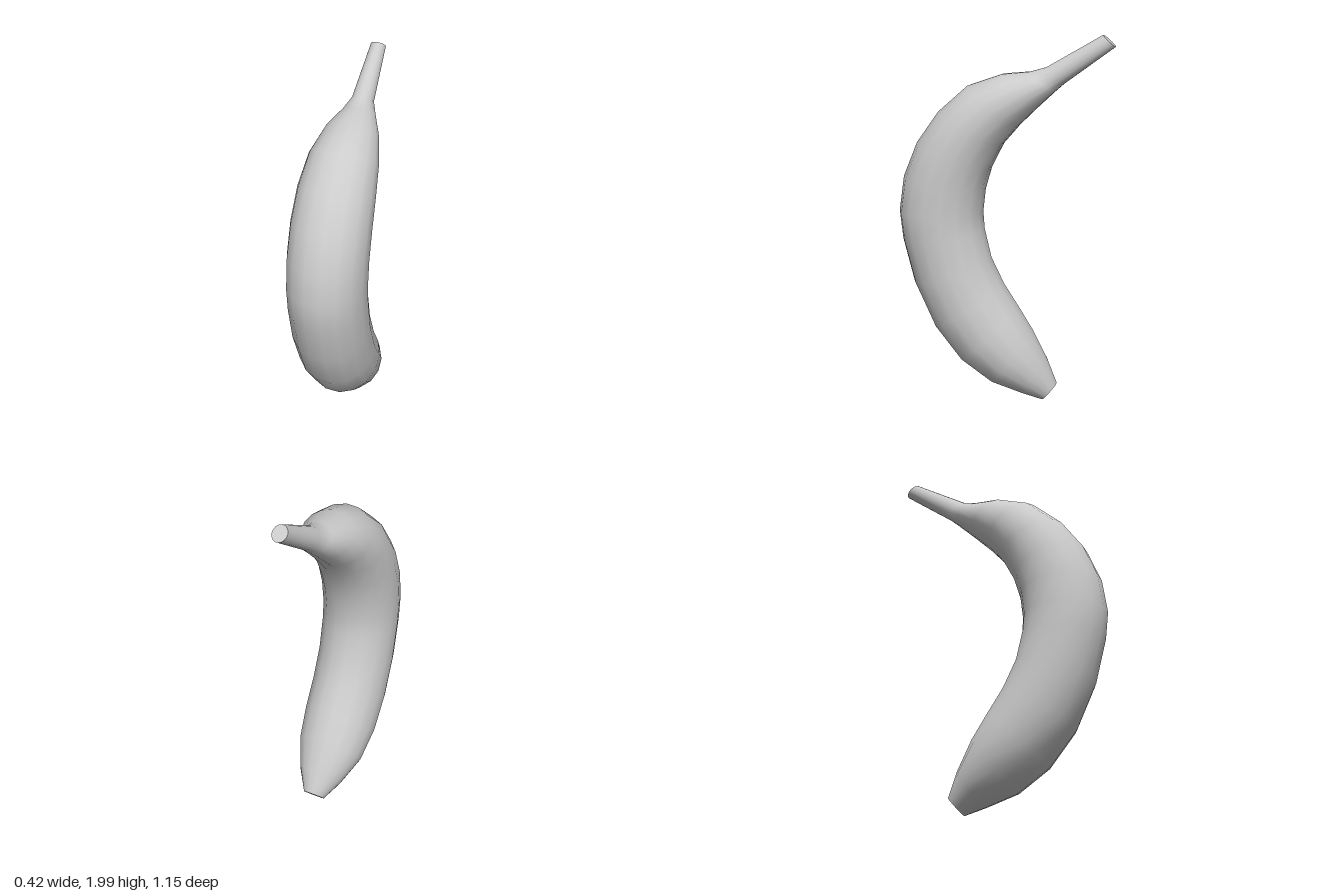
import * as THREE from 'three';

const SIDES = 16;
const TWIST = THREE.MathUtils.degToRad(14.5);

// Cross-sections from blossom tip to stem:
// [outer z, outer y, inner z, inner y, half width]
const SECTIONS = [
  [-0.205, 0.005, -0.285, 0.10, 0.06],
  [-0.095, 0.04, -0.23, 0.235, 0.125],
  [0.075, 0.10, -0.15, 0.39, 0.187],
  [0.245, 0.22, -0.07, 0.52, 0.207],
  [0.39, 0.405, 0.01, 0.645, 0.21],
  [0.50, 0.65, 0.08, 0.79, 0.21],
  [0.56, 0.89, 0.117, 0.95, 0.21],
  [0.577, 1.045, 0.124, 1.045, 0.21],
  [0.55, 1.235, 0.11, 1.17, 0.21],
  [0.475, 1.42, 0.075, 1.29, 0.208],
  [0.357, 1.587, 0.01, 1.42, 0.2],
  [0.20, 1.727, -0.075, 1.52, 0.18],
  [0.02, 1.79, -0.17, 1.615, 0.14],
  [-0.13, 1.805, -0.265, 1.705, 0.085],
  [-0.215, 1.83, -0.31, 1.745, 0.058],
  [-0.505, 2.0, -0.572, 1.94, 0.04],
];

// Elliptical ring of points for one section
function ring([oz, oy, iz, iy, w]) {
  const points = [];
  for (let j = 0; j < SIDES; j++) {
    const a = TWIST + (j / SIDES) * Math.PI * 2;
    const s = Math.sin(a);
    points.push(new THREE.Vector3(
      w * Math.cos(a),
      (oy + iy) / 2 + (s * (oy - iy)) / 2,
      (oz + iz) / 2 + (s * (oz - iz)) / 2,
    ));
  }
  return points;
}

function makeMesh(name, points, index) {
  const geometry = new THREE.BufferGeometry().setFromPoints(points);
  geometry.setIndex(index);
  geometry.computeVertexNormals();
  const mesh = new THREE.Mesh(geometry, new THREE.MeshStandardMaterial({ color: 0xcccccc }));
  mesh.name = name;
  return mesh;
}

// Flat end disc closing one section
function makeCap(name, section, facesUp) {
  const [oz, oy, iz, iy] = section;
  const points = [...ring(section), new THREE.Vector3(0, (oy + iy) / 2, (oz + iz) / 2)];
  const index = [];
  for (let j = 0; j < SIDES; j++) {
    const k = (j + 1) % SIDES;
    index.push(SIDES, ...(facesUp ? [k, j] : [j, k]));
  }
  return makeMesh(name, points, index);
}

export function createModel() {
  const group = new THREE.Group();
  group.name = 'banana';

  // Smooth skin lofted through all sections, including the stem
  const index = [];
  for (let i = 0; i < SECTIONS.length - 1; i++) {
    for (let j = 0; j < SIDES; j++) {
      const k = (j + 1) % SIDES;
      const a = i * SIDES + j, b = i * SIDES + k;
      const c = a + SIDES, d = b + SIDES;
      index.push(a, c, b, b, c, d);
    }
  }
  group.add(makeMesh('peel', SECTIONS.flatMap(ring), index));

  // Cut ends
  group.add(makeCap('blossomEnd', SECTIONS[0], false));
  group.add(makeCap('stemEnd', SECTIONS[SECTIONS.length - 1], true));
  return group;
}
